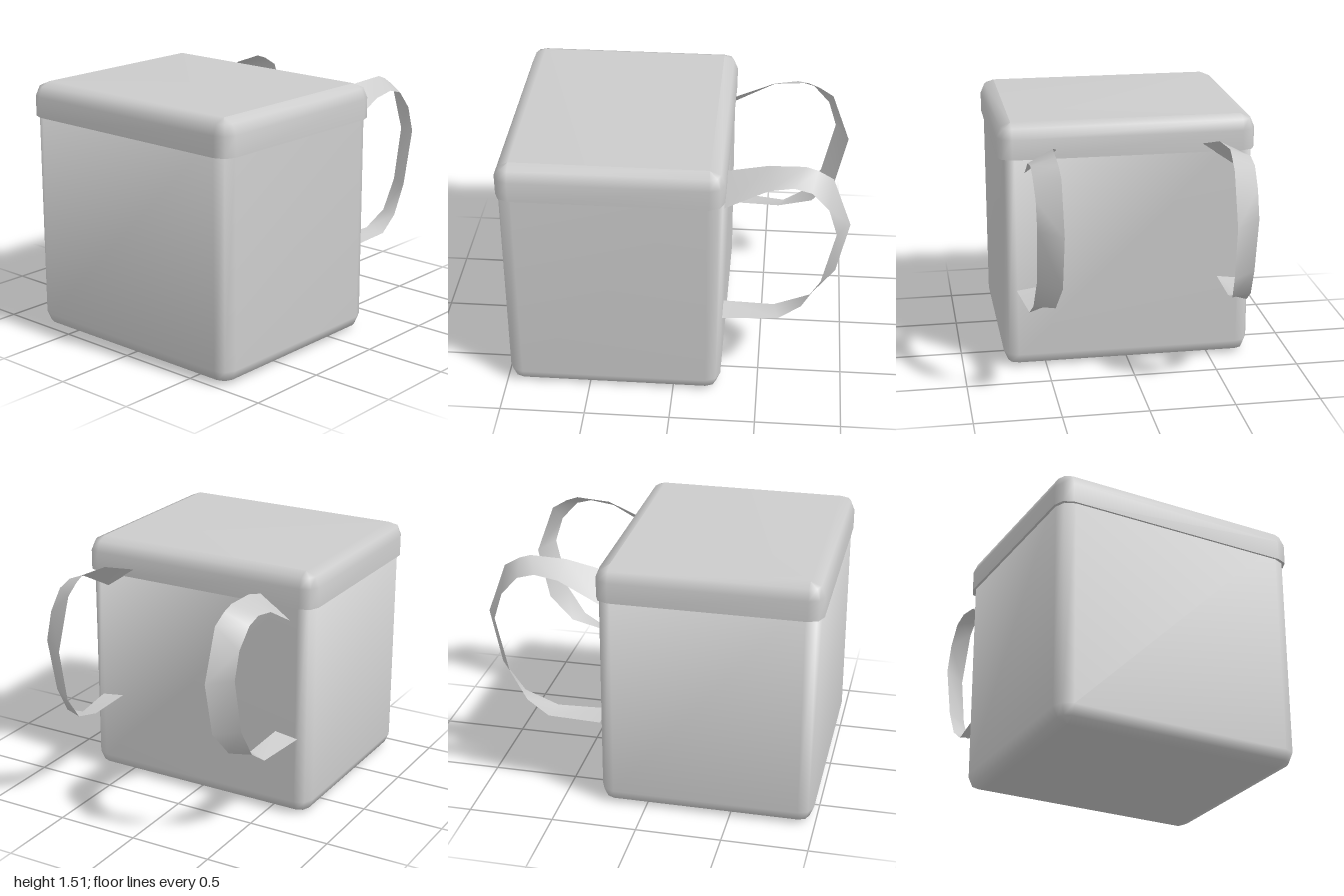
import * as THREE from 'three';

const grey = new THREE.MeshStandardMaterial({ color: 0xcccccc });
const ribbonGrey = new THREE.MeshStandardMaterial({ color: 0xcccccc, side: THREE.DoubleSide });
const BEVEL = 0.085;
const CENTRE_X = -0.353;

function makeMesh(name, positions, indices, material) {
  const geometry = new THREE.BufferGeometry();
  geometry.setAttribute('position', new THREE.Float32BufferAttribute(positions, 3));
  geometry.setIndex(indices);
  geometry.computeVertexNormals();
  const mesh = new THREE.Mesh(geometry, material);
  mesh.name = name;
  return mesh;
}

// Closed box built from rounded-rectangle rings, each given as [y, inset]
function roundedBox(name, halfX, halfZ, rings) {
  const pos = [], idx = [], n = 12;
  for (const [y, inset] of rings) {
    for (let q = 0; q < 4; q++) {
      const sx = q === 0 || q === 3 ? 1 : -1, sz = q < 2 ? 1 : -1;
      for (let k = 0; k < 3; k++) {
        const a = (q + k / 2) * Math.PI / 2, r = BEVEL - inset;
        pos.push(CENTRE_X + sx * (halfX - BEVEL) + r * Math.cos(a), y,
          sz * (halfZ - BEVEL) + r * Math.sin(a));
      }
    }
  }
  for (let i = 0; i < rings.length - 1; i++) {
    for (let j = 0; j < n; j++) {
      const a = i * n + j, b = i * n + (j + 1) % n;
      idx.push(a, a + n, b, b, a + n, b + n);
    }
  }
  const top = (rings.length - 1) * n;
  for (let j = 1; j < n - 1; j++) {
    idx.push(0, j, j + 1, top, top + j + 1, top + j);
  }
  return makeMesh(name, pos, idx, grey);
}

// Strap edges, from the upper end round to the lower end: [x, y, z]
const innerEdge = [
  [0.285, 1.355, 0.43], [0.52, 1.43, 0.48], [0.73, 1.44, 0.49], [0.8, 1.415, 0.485],
  [0.89, 1.36, 0.48], [1, 1.06, 0.48], [0.93, 0.74, 0.485], [0.79, 0.575, 0.51],
  [0.58, 0.51, 0.535], [0.285, 0.52, 0.535],
];
const outerEdge = [
  [0.285, 1.225, 0.62], [0.53, 1.355, 0.625], [0.67, 1.378, 0.625], [0.77, 1.35, 0.625],
  [0.87, 1.24, 0.62], [0.92, 1.08, 0.62], [0.845, 0.75, 0.62], [0.74, 0.575, 0.63],
  [0.61, 0.488, 0.64], [0.285, 0.5, 0.68],
];

// Thin twisted ribbon between the two edges; side mirrors it front to back
function strap(name, side) {
  const pos = [], idx = [];
  innerEdge.forEach((p, i) => {
    for (const [x, y, z] of [p, outerEdge[i]]) pos.push(x, y, side * z - 0.006);
    if (i === 0) return;
    const a = 2 * i - 2;
    if (side > 0) idx.push(a, a + 1, a + 2, a + 1, a + 3, a + 2);
    else idx.push(a, a + 2, a + 1, a + 1, a + 2, a + 3);
  });
  return makeMesh(name, pos, idx, ribbonGrey);
}

export function createModel() {
  const group = new THREE.Group();
  group.name = 'boxWithStraps';

  group.add(roundedBox('body', 0.633, 0.752,
    [[0, BEVEL], [0.025, 0.025], [BEVEL, 0], [1.4, 0]]));

  // The doubled first ring keeps the lid's lower rim sharp
  group.add(roundedBox('lid', 0.645, 0.767,
    [[1.305, 0], [1.305, 0], [1.425, 0], [1.485, 0.025], [1.51, BEVEL]]));

  group.add(strap('frontStrap', 1), strap('backStrap', -1));
  return group;
}
